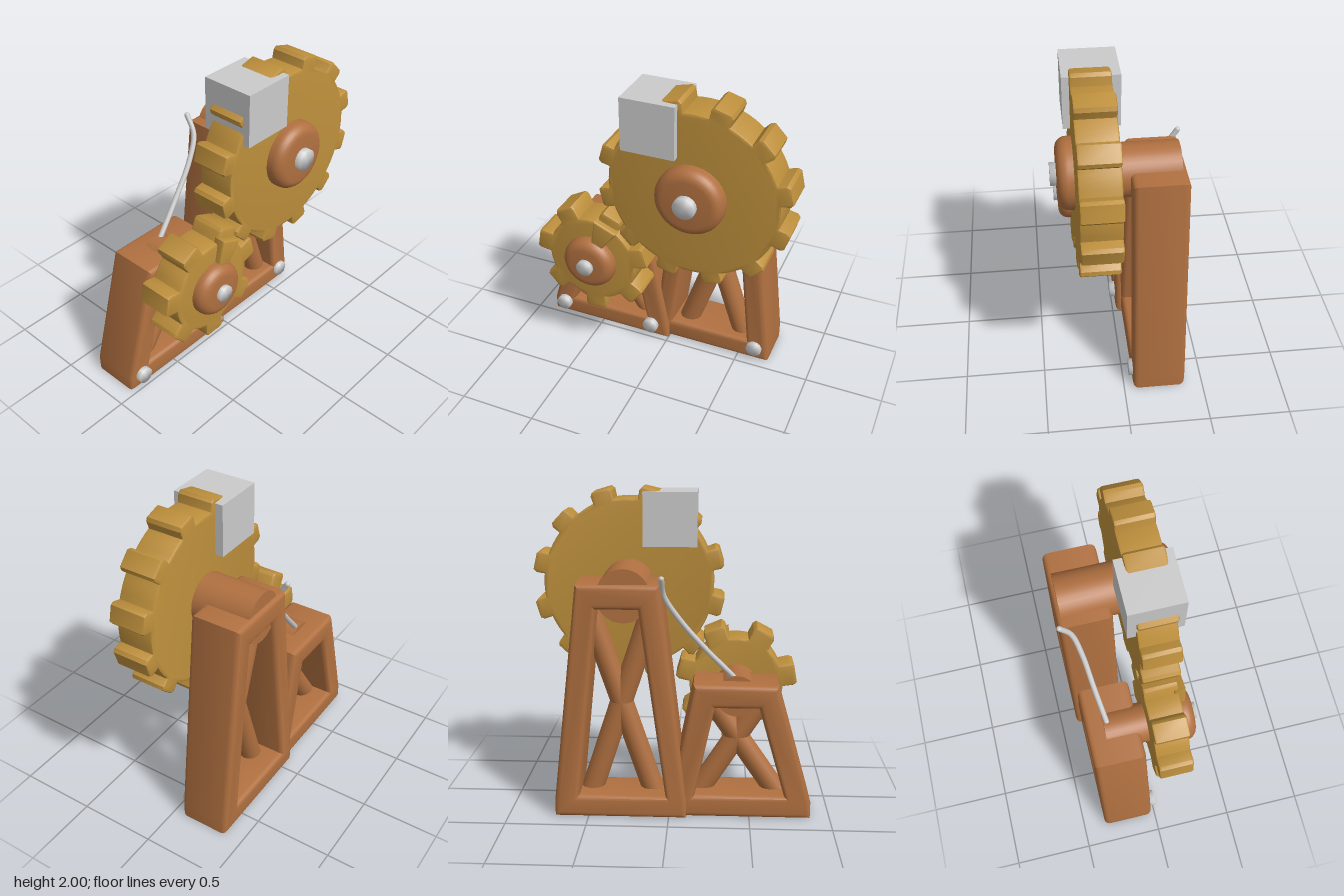
import * as THREE from 'three';
import { toCreasedNormals } from 'three/addons/utils/BufferGeometryUtils.js';

const mat = (name, color) => {
  const m = new THREE.MeshStandardMaterial({ color });
  m.name = name;
  return m;
};

export function createModel() {
  const wood = mat('brown wood', 0xb07040);
  const gold = mat('gold gear', 0xbd8f3c);
  const silver = mat('silver metal', 0xcbcbcb);
  const model = new THREE.Group();

  const add = (name, geometry, material) => {
    const mesh = new THREE.Mesh(geometry, material);
    mesh.name = name;
    model.add(mesh);
    return mesh;
  };

  // Side profiles use u = -z and v = y, and are extruded from x0 to x1 with bevelled edges.
  const slab = (shape, x0, x1, bevel, segments = 3) => {
    const g = new THREE.ExtrudeGeometry(shape, {
      depth: x1 - x0 - 2 * bevel, bevelThickness: bevel, bevelSize: bevel,
      bevelOffset: -bevel, bevelSegments: segments, curveSegments: 8,
    });
    g.rotateY(Math.PI / 2);
    g.translate(x0 + bevel, 0, 0);
    return toCreasedNormals(g, 0.6);
  };
  const points = (list) => list.map(([u, v]) => new THREE.Vector2(u, v));

  // Turned part lying along x; profile is [radius, x] pairs
  const turned = (name, profile, y, z, material, sides = 32, crease = 0) => {
    let g = new THREE.LatheGeometry(points(profile), sides);
    g.rotateZ(-Math.PI / 2);
    g.translate(0, y, z);
    if (crease) g = toCreasedNormals(g, crease);
    return add(name, g, material);
  };
  const shaft = (name, r, x0, x1, y, z) =>
    turned(name, [[0, x0], [r, x0], [r, x1], [0, x1]], y, z, wood, 32, 0.6);
  const bolt = (name, r, x0, x1, y, z) =>
    turned(name, [[0, x0], [r, x0], [r, x1], [0, x1]], y, z, silver, 16);

  // Trapezoid side frame with an open middle
  const frame = (name, outer, inner, x0, x1) => {
    const shape = new THREE.Shape(points(outer));
    shape.holes.push(new THREE.Path(points(inner)));
    add(name, slab(shape, x0, x1, 0.032), wood);
  };

  // Round brace between two [y, z] points
  const brace = (name, x, a, b) => {
    const p = new THREE.Vector3(x, a[0], a[1]);
    const q = new THREE.Vector3(x, b[0], b[1]);
    const d = q.clone().sub(p);
    const mesh = add(name, new THREE.CylinderGeometry(0.07, 0.07, d.length(), 20), wood);
    mesh.position.copy(p).add(q).multiplyScalar(0.5);
    mesh.quaternion.setFromUnitVectors(new THREE.Vector3(0, 1, 0), d.normalize());
  };

  // Toothed wheel
  const gear = (name, o) => {
    const pts = [];
    const step = (Math.PI * 2) / o.teeth;
    const put = (r, a) => pts.push([-o.z + r * Math.cos(a), o.y + r * Math.sin(a)]);
    for (let i = 0; i < o.teeth; i++) {
      const a = o.phase + i * step;
      const base = o.width * 0.46 / o.root;
      const tip = o.width * 0.5 / o.tip;
      const round = 0.018 / o.tip;
      put(o.root, a - base);
      put(o.tip - 0.02, a - tip);
      put(o.tip, a - tip + round);
      put(o.tip, a + tip - round);
      put(o.tip - 0.02, a + tip);
      put(o.root, a + base);
      for (let k = 1; k < 4; k++) put(o.root, a + base + (step - 2 * base) * k / 4);
    }
    add(name, slab(new THREE.Shape(points(pts)), o.x0, o.x1, 0.014, 2), gold);
  };

  // Rounded hub cap
  const hub = (name, r, x0, x1, y, z) => {
    const profile = [[0, x0], [r, x0]];
    const e = 0.065;
    for (let i = 0; i <= 6; i++) {
      const t = (i / 6) * Math.PI / 2;
      profile.push([r - e + e * Math.cos(t), x1 - e + e * Math.sin(t)]);
    }
    profile.push([0, x1]);
    turned(name, profile, y, z, wood, 36, 0.7);
  };

  const big = { y: 1.4, z: -0.268 };
  const small = { y: 0.757, z: 0.415 };

  // Tall rear tower
  frame('tallTower',
    [[-0.11, 0], [0.71, 0], [0.71, 0.1], [0.55, 1.47], [0.05, 1.47], [-0.11, 0.1]],
    [[0.02, 0.14], [0.555, 0.14], [0.43, 1.32], [0.18, 1.32]], -0.388, -0.058);
  brace('tallBraceForward', -0.19, [0.07, -0.51], [1.31, -0.1]);
  brace('tallBraceBackward', -0.19, [0.07, -0.09], [1.31, -0.5]);

  // Short front tower
  frame('shortTower',
    [[-0.88, 0], [0, 0], [0, 0.1], [-0.15, 0.855], [-0.665, 0.855], [-0.88, 0.1]],
    [[-0.715, 0.14], [-0.16, 0.14], [-0.28, 0.71], [-0.55, 0.71]], -0.355, -0.022);
  brace('shortBraceForward', -0.16, [0.07, 0.16], [0.79, 0.615]);
  brace('shortBraceBackward', -0.16, [0.07, 0.70], [0.77, 0.22]);

  // Base bolts
  bolt('baseBoltFront', 0.053, -0.06, 0.013, 0.1, 0.79);
  bolt('baseBoltMiddle', 0.053, -0.06, 0.013, 0.1, 0.12);
  bolt('baseBoltBack', 0.053, -0.1, -0.035, 0.1, -0.617);

  // Large wheel assembly
  shaft('largeShaft', 0.162, -0.36, 0.1, big.y, big.z);
  gear('largeGear', {
    ...big, teeth: 12, phase: THREE.MathUtils.degToRad(13.5), root: 0.535, tip: 0.608,
    width: 0.14, x0: 0.023, x1: 0.263,
  });
  hub('largeHub', 0.216, 0.2, 0.36, big.y, big.z);
  bolt('largeAxleBolt', 0.07, 0.3, 0.397, big.y, big.z);

  // Small wheel assembly
  shaft('smallShaft', 0.13, -0.24, 0.1, small.y, small.z);
  gear('smallGear', {
    ...small, teeth: 7, phase: THREE.MathUtils.degToRad(-87.5), root: 0.3, tip: 0.39,
    width: 0.155, x0: 0.03, x1: 0.253,
  });
  hub('smallHub', 0.176, 0.2, 0.337, small.y, small.z);
  bolt('smallAxleBolt', 0.054, 0.3, 0.365, small.y, small.z);

  // Raised wedge on the small gear face
  const wedge = [[0.165, 82], [0.165, 54], [0.335, 53], [0.335, 81]].map(([r, deg]) => {
    const a = THREE.MathUtils.degToRad(deg);
    return [-small.z + r * Math.cos(a), small.y + r * Math.sin(a)];
  }).reverse();
  add('gearWedge', slab(new THREE.Shape(points(wedge)), 0.22, 0.298, 0.015), gold);

  // Square block straddling the large gear
  const block = add('gearBlock', new THREE.BoxGeometry(0.335, 0.333, 0.335), silver);
  block.position.set(0.138, 1.81, -0.007);

  // Curved metal cable between the towers
  const path = new THREE.CatmullRomCurve3([
    [-0.385, 1.51, -0.04], [-0.32, 1.4, -0.03], [-0.28, 1.25, 0.06],
    [-0.252, 1.07, 0.21], [-0.215, 0.87, 0.4],
  ].map((p) => new THREE.Vector3(...p)));
  add('cable', new THREE.TubeGeometry(path, 32, 0.017, 10), silver);
  const cap = add('cableEnd', new THREE.SphereGeometry(0.017, 10, 8), silver);
  cap.position.set(-0.385, 1.51, -0.04);

  return model;
}
